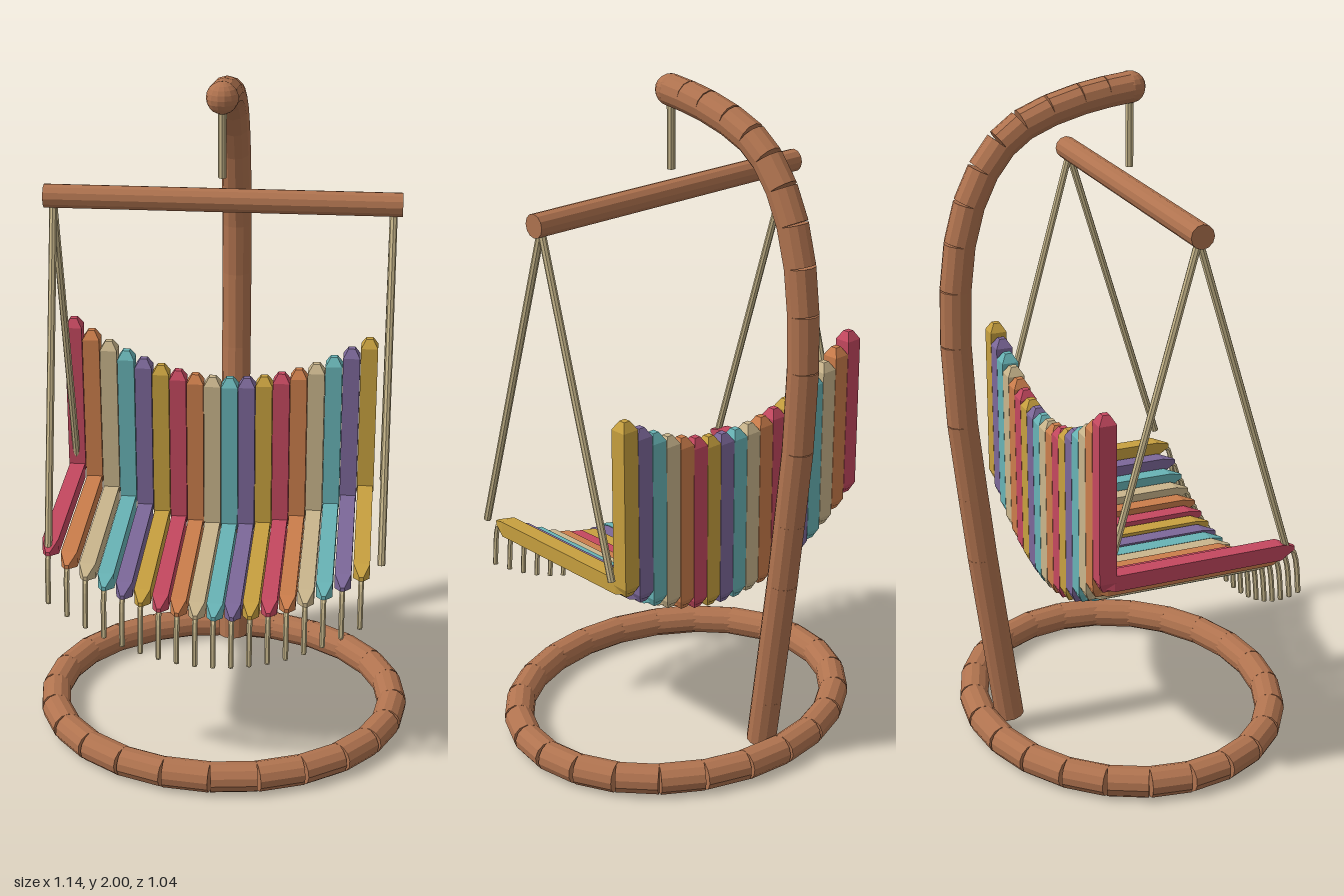
import * as THREE from 'three';

const mat = (name, color) => {
  const m = new THREE.MeshStandardMaterial({ color, flatShading: true });
  m.name = name;
  return m;
};

const V = (x, y, z) => new THREE.Vector3(x, y, z);

export function createModel() {
  const model = new THREE.Group();
  model.name = 'hangingChair';

  const wood = mat('wood', 0xb0734f);
  const rope = mat('rope', 0xc9b88c);
  const slatColours = [
    mat('red', 0xc4485f), mat('orange', 0xcb7d4b), mat('sand', 0xc9b58c),
    mat('teal', 0x68b3b5), mat('purple', 0x7c6899), mat('yellow', 0xc7a03f),
  ];

  const add = (parent, name, geometry, material) => {
    const mesh = new THREE.Mesh(geometry, material);
    mesh.name = name;
    parent.add(mesh);
    return mesh;
  };

  const group = (name) => {
    const g = new THREE.Group();
    g.name = name;
    model.add(g);
    return g;
  };

  // Straight round bar between two points
  const bar = (parent, name, a, b, r, material, sides = 12) => {
    const mesh = add(parent, name, new THREE.CylinderGeometry(r, r, a.distanceTo(b), sides), material);
    mesh.position.copy(a).add(b).multiplyScalar(0.5);
    mesh.quaternion.setFromUnitVectors(V(0, 1, 0), b.clone().sub(a).normalize());
    return mesh;
  };

  const ball = (parent, name, p, r, material) =>
    add(parent, name, new THREE.SphereGeometry(r, 14, 10), material).position.copy(p);

  // Oval base ring of short butted logs
  const base = group('baseRing');
  const N = 24;
  const ringPoint = (i) => {
    const a = (i / N) * Math.PI * 2;
    return V(0.525 * Math.cos(a), 0.046, 0.025 + 0.45 * Math.sin(a));
  };
  for (let i = 0; i < N; i++) bar(base, 'ringLog', ringPoint(i), ringPoint(i + 1), 0.045, wood);

  // Curved post, also in butted logs, as [y, z]
  const stand = group('curvedPost');
  const post = [
    [0.05, -0.342], [0.2, -0.362], [0.4, -0.388], [0.6, -0.414], [0.8, -0.437], [1.03, -0.462],
    [1.27, -0.474], [1.43, -0.47], [1.56, -0.454], [1.67, -0.424], [1.76, -0.381], [1.83, -0.327],
    [1.877, -0.265], [1.91, -0.185], [1.934, -0.095], [1.947, -0.02], [1.955, 0.05],
  ].map(([y, z]) => V(0, y, z));
  for (let i = 0; i < post.length - 1; i++) bar(stand, 'postLog', post[i], post[i + 1], 0.045, wood);
  ball(stand, 'postTip', post[post.length - 1], 0.045, wood);

  // Crossbar and ropes
  const Z = 0.05;
  bar(model, 'crossbar', V(-0.5, 1.665, Z), V(0.5, 1.665, Z), 0.034, wood);
  bar(model, 'hangingRope', V(0, 1.94, Z), V(0, 1.73, Z), 0.012, rope, 8);
  const ropes = group('sideRopes');
  for (const x of [-0.475, 0.475]) {
    for (const z of [0.342, -0.215]) bar(ropes, 'sideRope', V(x, 1.65, Z), V(x, 0.695, z), 0.011, rope, 8);
  }

  // Square rod along +y with tapered ends
  const rod = (length, half, startTaper, endTaper, endScale) => {
    const r = half * Math.SQRT2;
    const profile = [
      [0, 0], [r * 0.45, 0], [r, startTaper], [r, length - endTaper], [r * endScale, length], [0, length],
    ].map(([x, y]) => new THREE.Vector2(x, y));
    return new THREE.LatheGeometry(profile, 4).rotateY(Math.PI / 4);
  };

  // Seat slats, backrest slats and fringe, sagging towards the middle
  const seat = group('seat');
  const backrest = group('backrest');
  const fringe = group('fringe');
  const seatGeometry = rod(0.6, 0.0235, 0.04, 0.05, 0.25).rotateX(Math.PI / 2);
  const fringeCurve = new THREE.CatmullRomCurve3([
    V(0, 0, 0.345), V(0, -0.015, 0.365), V(0, -0.06, 0.376), V(0, -0.145, 0.384),
  ]);
  const fringeGeometry = new THREE.TubeGeometry(fringeCurve, 6, 0.008, 6);

  for (let i = 0; i < 18; i++) {
    const x = -0.4725 + i * 0.0525;
    const sag = (x / 0.4725) ** 2;
    const y = 0.51 + 0.19 * sag;
    const colour = slatColours[i % 6];

    add(seat, 'seatSlat', seatGeometry, colour).position.set(x, y, -0.235);

    const bottom = y - 0.025;
    const top = 1.02 + 0.18 * sag;
    const back = add(backrest, 'backSlat', rod(top - bottom, 0.0255, 0.03, 0.026, 0.4), colour);
    back.position.set(x, bottom, -0.215);

    add(fringe, 'tassel', fringeGeometry, rope).position.set(x, y, 0);
    const tip = V(x, y - 0.145, 0.384);
    bar(fringe, 'tasselTip', tip, tip.clone().add(V(0, -0.003, 0)), 0.008, rope, 6);
  }

  return model;
}
